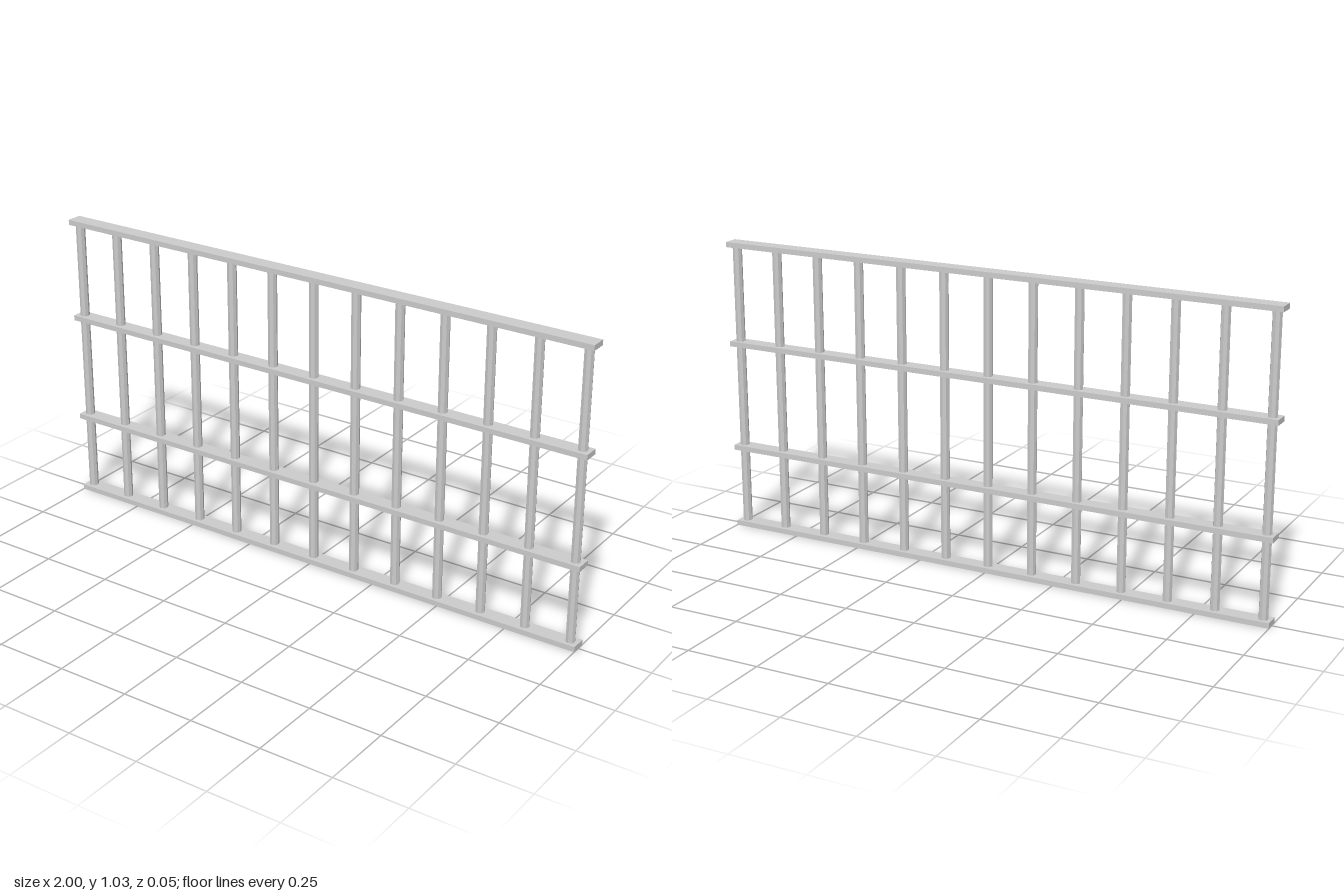
import * as THREE from 'three';

export function createModel() {
  const model = new THREE.Group();
  const material = new THREE.MeshStandardMaterial({ color: 0xcccccc, flatShading: true });
  const height = 1.03, railThickness = 0.018;

  // Flat horizontal rails
  const railGeometry = new THREE.BoxGeometry(2, railThickness, 0.054);
  [railThickness / 2, 0.292, 0.67, height - railThickness / 2].forEach((y, i) => {
    const rail = new THREE.Mesh(railGeometry, material);
    rail.name = `rail${i + 1}`;
    rail.position.y = y;
    model.add(rail);
  });

  // Evenly spaced faceted bars running between the outer rails
  const barCount = 13, spacing = 0.162;
  const barGeometry = new THREE.CylinderGeometry(0.016, 0.016, height - railThickness, 8);
  for (let i = 0; i < barCount; i++) {
    const bar = new THREE.Mesh(barGeometry, material);
    bar.name = `bar${i + 1}`;
    bar.position.set((i - (barCount - 1) / 2) * spacing, height / 2, 0);
    model.add(bar);
  }
  return model;
}
